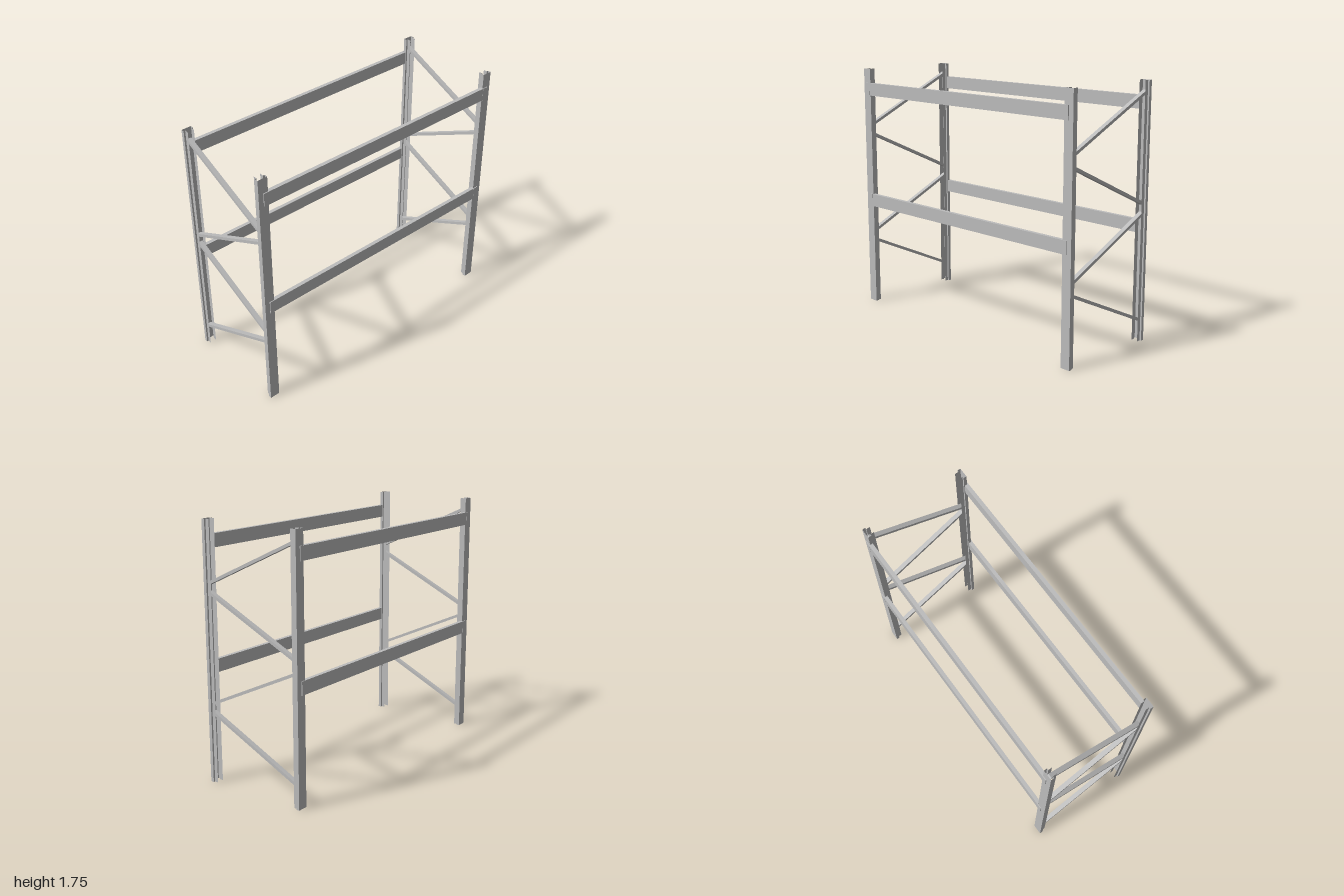
import * as THREE from 'three';

const steel = new THREE.MeshStandardMaterial({ color: 0xbcbcbc });
steel.name = 'grey steel';
const sheetSteel = new THREE.MeshStandardMaterial({ color: 0xbcbcbc, side: THREE.DoubleSide });
sheetSteel.name = 'grey sheet steel';

const HEIGHT = 1.75;
const POST_Z = 0.965; // centre of each end frame

// Thin folded sheet: a profile of [x, z] points pulled up to a height
function foldedSheet(profile, height) {
  const pos = [];
  for (let i = 0; i < profile.length - 1; i++) {
    const [ax, az] = profile[i];
    const [bx, bz] = profile[i + 1];
    pos.push(ax, 0, az, bx, height, bz, bx, 0, bz);
    pos.push(ax, 0, az, ax, height, az, bx, height, bz);
  }
  const g = new THREE.BufferGeometry();
  g.setAttribute('position', new THREE.Float32BufferAttribute(pos, 3));
  g.computeVertexNormals();
  return g;
}

function box(name, w, h, d, x, y, z) {
  const m = new THREE.Mesh(new THREE.BoxGeometry(w, h, d), steel);
  m.name = name;
  m.position.set(x, y, z);
  return m;
}

export function createModel() {
  const model = new THREE.Group();
  model.name = 'storageRack';

  // Upright section: outer web, side flanges stepping in, open to the inside
  const half = [[0.33, 0.023], [0.357, 0.023], [0.357, 0.035], [0.38, 0.035]];
  const profile = [...half, ...half.map(([x, z]) => [x, -z]).reverse()];
  const postGeometry = foldedSheet(profile, HEIGHT);

  // Brace heights at the left (-x) and right (+x) posts
  const braces = [[0.157, 0.468], [0.863, 0.553], [0.957, 1.268], [1.663, 1.353]];

  for (const end of [1, -1]) {
    const frame = new THREE.Group();
    frame.name = end > 0 ? 'frontFrame' : 'backFrame';
    frame.position.z = end * POST_Z;

    for (const side of [1, -1]) {
      const post = new THREE.Mesh(postGeometry, sheetSteel);
      post.name = side > 0 ? 'leftPost' : 'rightPost';
      if (side < 0) post.rotation.y = Math.PI;
      frame.add(post);
    }

    // Zigzag bracing, running slightly into the open posts
    for (const [y0, y1] of braces) {
      const angle = Math.atan2(y1 - y0, 0.664);
      const brace = box('diagonalBrace', 0.725 / Math.cos(angle), 0.02, 0.032, 0, (y0 + y1) / 2, 0);
      brace.rotation.z = angle;
      frame.add(brace);
    }
    model.add(frame);
  }

  // Long load beams with end plates lapping over the posts
  for (const side of [1, -1]) {
    for (const y of [0.785, 1.605]) {
      const beam = new THREE.Group();
      beam.name = 'loadBeam';
      beam.add(box('beamBar', 0.027, 0.09, 1.86, side * 0.3755, y, 0));
      for (const end of [1, -1]) {
        beam.add(box('endPlate', 0.006, 0.09, 0.04, side * 0.387, y, end * 0.948));
      }
      model.add(beam);
    }
  }

  return model;
}
